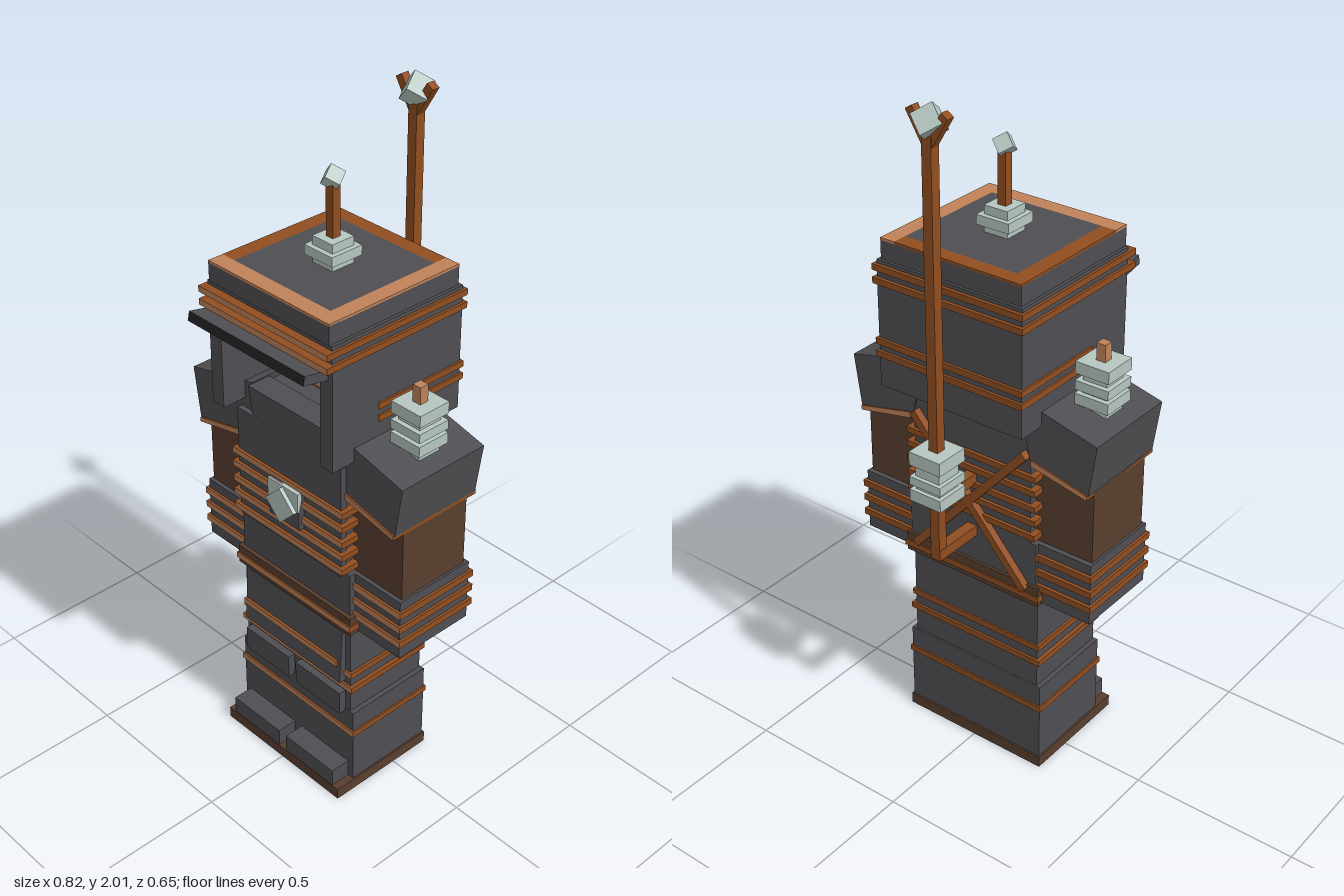
import * as THREE from 'three';

const paint = (name, color) => {
  const m = new THREE.MeshStandardMaterial({ color });
  m.name = name;
  return m;
};

export function createModel() {
  const model = new THREE.Group();
  model.name = 'armouredFigure';
  const iron = paint('darkIron', 0x4f4f53);
  const copper = paint('brightCopper', 0xbf8258);
  const rust = paint('deepCopper', 0x914e20);
  const brown = paint('brownLeather', 0x573e2e);
  const pale = paint('paleCeramic', 0xb6c6c0);
  const black = paint('black', 0x202022);
  const faced = (side, front) => [side, side, side, side, front, side];

  // Box given by its limits on each axis
  function box(name, mat, x0, x1, y0, y1, z0, z1, parent = model) {
    const mesh = new THREE.Mesh(new THREE.BoxGeometry(x1 - x0, y1 - y0, z1 - z0), mat);
    mesh.position.set((x0 + x1) / 2, (y0 + y1) / 2, (z0 + z1) / 2);
    mesh.name = name;
    parent.add(mesh);
    return mesh;
  }
  // Copper hoop with a bright front
  const band = (name, x0, x1, y, z0, z1, h = 0.018) =>
    box(name, faced(rust, copper), x0, x1, y - h / 2, y + h / 2, z0, z1);
  // Square bar between two points
  function bar(name, mat, a, b, w) {
    const from = new THREE.Vector3(...a), to = new THREE.Vector3(...b);
    const mesh = new THREE.Mesh(new THREE.BoxGeometry(w, from.distanceTo(to), w), mat);
    mesh.position.copy(from).add(to).multiplyScalar(0.5);
    mesh.quaternion.setFromUnitVectors(new THREE.Vector3(0, 1, 0), to.sub(from).normalize());
    mesh.name = name;
    model.add(mesh);
  }
  // Stack of alternating square discs: [width, bottom, top]
  function insulator(name, x, z, rows) {
    const g = new THREE.Group();
    g.name = name;
    for (const [w, y0, y1] of rows) {
      box('insulatorDisc', pale, x - w / 2, x + w / 2, y0, y1, z - w / 2, z + w / 2, g);
    }
    model.add(g);
  }
  // Cube standing on a corner
  function crystal(name, x, y, z, s) {
    const mesh = new THREE.Mesh(new THREE.BoxGeometry(s, s, s), pale);
    mesh.position.set(x, y, z);
    mesh.rotation.set(0.6, 0.3, Math.PI / 4);
    mesh.name = name;
    model.add(mesh);
  }
  // Outline in x and y pushed through a depth range
  function slab(name, mat, pts, z0, z1) {
    const shape = new THREE.Shape(pts.map(p => new THREE.Vector2(...p)));
    const mesh = new THREE.Mesh(new THREE.ExtrudeGeometry(shape, { depth: z1 - z0, bevelEnabled: false }), mat);
    mesh.position.z = z0;
    mesh.name = name;
    model.add(mesh);
  }

  // Sole, boots and legs
  box('sole', brown, -0.24, 0.24, 0, 0.035, -0.13, 0.225);
  box('boots', iron, -0.235, 0.235, 0.035, 0.285, -0.125, 0.16);
  box('legs', iron, -0.22, 0.22, 0.285, 0.58, -0.12, 0.157);
  band('bootBand', -0.24, 0.24, 0.21, -0.13, 0.166);
  band('kneeBand', -0.232, 0.232, 0.37, -0.127, 0.165);
  band('thighBand', -0.228, 0.228, 0.42, -0.125, 0.163);
  const thigh = box('thighPlate', iron, -0.2, 0.2, 0.39, 0.57, 0.15, 0.175);
  thigh.rotation.x = -0.06;
  band('thighPlateBand', -0.2, 0.19, 0.455, 0.155, 0.185);
  for (const s of [-1, 1]) {
    const pair = (a, b) => (s > 0 ? [a, b] : [-b, -a]);
    box('toeCap', iron, ...pair(0.015, 0.215), 0.035, 0.09, 0.15, 0.223);
    box('kneeGuard', iron, ...pair(0.015, 0.2), 0.275, 0.35, 0.15, 0.18);
  }

  // Belt and torso
  box('belt', brown, -0.232, 0.232, 0.575, 0.635, -0.138, 0.172);
  band('beltBand', -0.236, 0.236, 0.6, -0.142, 0.177);
  box('abdomen', iron, -0.22, 0.22, 0.635, 0.77, -0.13, 0.16);
  box('torso', iron, -0.2, 0.2, 0.77, 1.19, -0.13, 0.163);
  box('chestPlate', iron, -0.205, 0.205, 0.77, 1.12, 0.16, 0.18);
  slab('chinGuard', iron, [[-0.145, 1.11], [0.145, 1.11], [0.163, 1.205], [-0.163, 1.205]], 0.1, 0.175);
  for (const y of [0.98, 0.936, 0.886, 0.842, 0.795]) {
    band('chestBand', -0.22, 0.22, y, -0.14, 0.19);
  }

  // Chest emblem stone
  box('stoneSocket', iron, -0.06, 0.06, 0.855, 0.975, 0.17, 0.198);
  box('stonePlate', pale, -0.06, 0.06, 0.915, 0.975, 0.19, 0.203);
  const stone = box('chestStone', pale, -0.04, 0.04, 0.875, 0.955, 0.16, 0.215);
  stone.rotation.z = Math.PI / 4;

  // Arms, mirrored
  for (const s of [-1, 1]) {
    const pair = (a, b) => (s > 0 ? [a, b] : [-b, -a]);
    const flip = pts => pts.map(([x, y]) => [s * x, y]);
    box('upperArm', brown, ...pair(0.2, 0.385), 0.76, 1.06, -0.105, 0.13);
    box('forearm', iron, ...pair(0.215, 0.392), 0.58, 0.77, -0.12, 0.142);
    for (const y of [0.73, 0.682, 0.633]) {
      band('forearmBand', ...pair(0.21, 0.4), y, -0.13, 0.15, 0.02);
    }
    slab('shoulderGuard', iron, flip([[0.16, 1.21], [0.2, 1.03], [0.387, 0.995], [0.41, 1.15]]), -0.135, 0.163);
    slab('shoulderTrim', faced(rust, copper).slice(4), flip([[0.205, 1.02], [0.385, 0.983], [0.385, 0.997], [0.205, 1.038]]), -0.14, 0.168);
    insulator('shoulderInsulator', s * 0.32, 0.015, [
      [0.075, 1.15, 1.19], [0.104, 1.185, 1.217], [0.075, 1.217, 1.228],
      [0.104, 1.228, 1.255], [0.075, 1.255, 1.275], [0.104, 1.275, 1.31],
    ]);
    box('shoulderPin', copper, s * 0.32 - 0.014, s * 0.32 + 0.014, 1.31, 1.36, 0.001, 0.029);
    // Helmet cheek walls
    box('helmetSide', iron, ...pair(0.19, 0.235), 1.15, 1.43, -0.22, 0.238);
  }

  // Helmet
  box('helmetBack', iron, -0.19, 0.19, 1.15, 1.43, -0.22, 0.03);
  box('helmetBrow', iron, -0.235, 0.235, 1.43, 1.52, -0.22, 0.238);
  box('helmetCap', iron, -0.226, 0.226, 1.52, 1.575, -0.212, 0.24);
  for (const y of [1.285, 1.248]) band('faceBand', -0.241, 0.241, y, -0.228, 0.08);
  for (const y of [1.5, 1.462]) band('browBand', -0.243, 0.243, y, -0.23, 0.263);
  const visor = box('visor', faced(iron, black), -0.22, 0.22, 1.428, 1.455, 0.235, 0.318);
  visor.rotation.x = -0.2;

  // Crown border in two copper tones around a dark panel
  const top = [1.573, 1.58];
  box('crownBack', rust, -0.226, 0.18, ...top, -0.212, -0.168);
  box('crownLeft', rust, -0.226, -0.18, ...top, -0.168, 0.192);
  box('crownFront', copper, -0.226, 0.226, ...top, 0.192, 0.24);
  box('crownRight', copper, 0.18, 0.226, ...top, -0.212, 0.192);
  box('crownPanel', iron, -0.18, 0.18, ...top, -0.168, 0.192);

  // Helmet antenna
  insulator('helmetInsulator', 0, 0.015, [[0.075, 1.57, 1.602], [0.104, 1.602, 1.63], [0.075, 1.63, 1.655]]);
  box('helmetRod', rust, -0.013, 0.013, 1.65, 1.8, 0.002, 0.028);
  crystal('helmetCrystal', 0, 1.815, 0.015, 0.042);

  // Back mast with its brackets and forked tip
  const zm = -0.275;
  bar('mast', rust, [0, 0.72, zm], [0, 1.93, zm], 0.03);
  for (const y of [0.905, 0.735]) box('mastBracket', rust, -0.016, 0.016, y - 0.016, y + 0.016, -0.29, -0.12);
  for (const s of [-1, 1]) bar('mastFork', rust, [0, 1.9, zm], [s * 0.055, 1.99, zm], 0.024);
  insulator('mastInsulator', 0, zm, [
    [0.104, 0.91, 0.945], [0.08, 0.945, 0.96], [0.104, 0.96, 0.985],
    [0.08, 0.985, 1.02], [0.104, 1.02, 1.06],
  ]);
  crystal('mastCrystal', 0, 1.962, zm, 0.06);

  // Crossed braces on the back
  for (const s of [-1, 1]) {
    bar('backBrace', rust, [s * 0.19, 1.05, -0.14], [-s * 0.19, 0.62, -0.14], 0.024);
  }
  return model;
}
